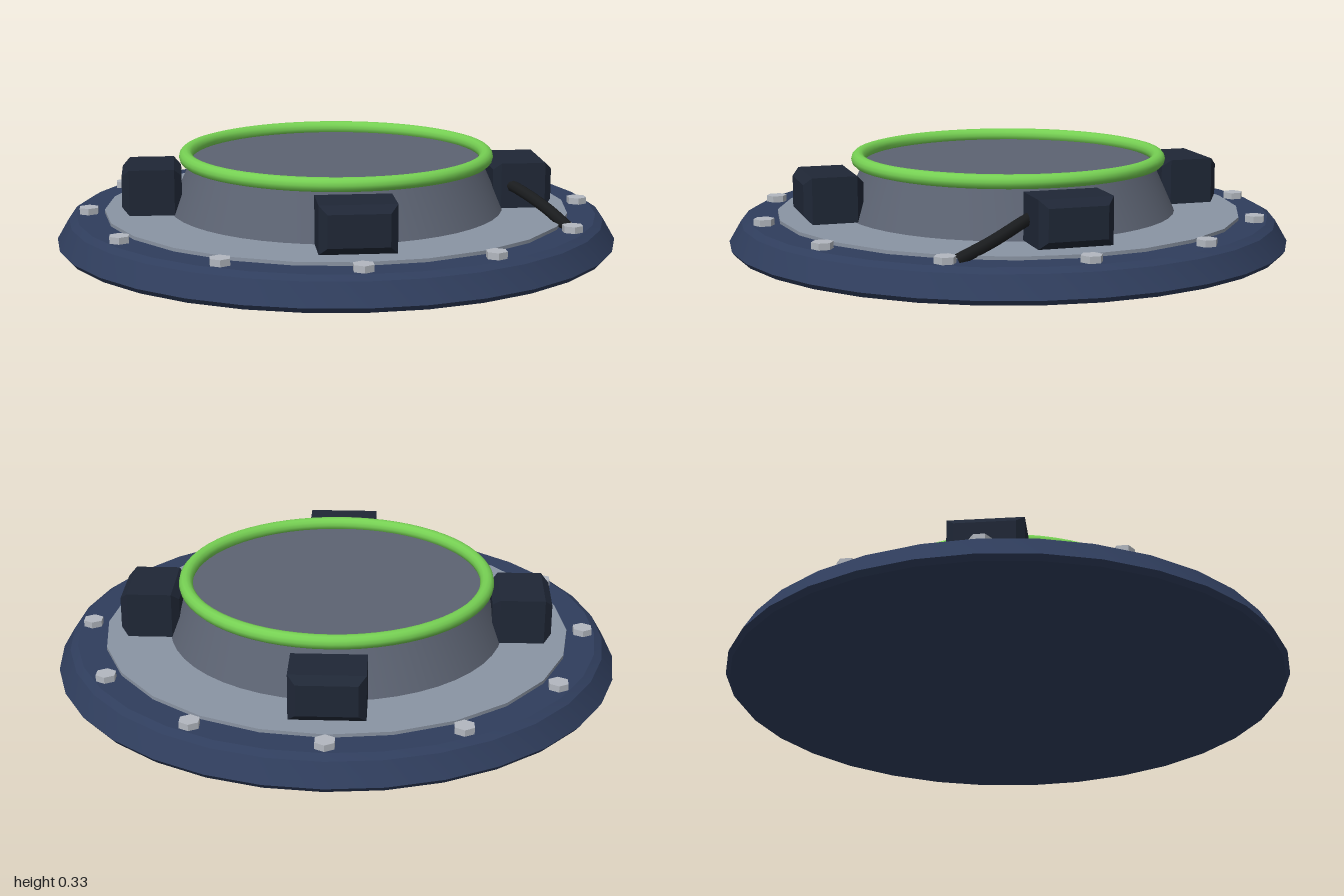
import * as THREE from 'three';
import { toCreasedNormals } from 'three/addons/utils/BufferGeometryUtils.js';

const material = (color) => new THREE.MeshStandardMaterial({ color });
const navy = material(0x2f3d5c);
const steel = material(0x8a94a3);
const slate = material(0x5c6372);
const dark = material(0x1f2736);
const green = material(0x76d053);
const silver = material(0xb2b7bf);
const rubber = material(0x1a1c1e);

export function createModel() {
  const model = new THREE.Group();

  const add = (name, geometry, mat, parent = model) => {
    const mesh = new THREE.Mesh(geometry, mat);
    mesh.name = name;
    parent.add(mesh);
    return mesh;
  };

  // Solid of revolution with sharp profile corners
  const turned = (points, sides) => toCreasedNormals(
    new THREE.LatheGeometry(points.map(([r, y]) => new THREE.Vector2(r, y)), sides), 0.45);

  // Base, mounting plate and raised drum
  add('base', turned([[0, 0], [0.985, 0], [1, 0.018], [0.957, 0.092], [0.93, 0.108], [0, 0.108]], 32), navy);
  add('mountingPlate', turned([[0.83, 0.1], [0.83, 0.12], [0, 0.12]], 24), steel);
  add('drum', turned([[0.6, 0.115], [0.52, 0.293], [0, 0.293]], 48), slate);

  // Glowing rim
  const rim = add('rimRing', new THREE.TorusGeometry(0.538, 0.025, 12, 64), green);
  rim.rotation.x = Math.PI / 2;
  rim.position.y = 0.308;

  // Hexagonal bolts around the base
  const bolts = new THREE.Group();
  bolts.name = 'bolts';
  model.add(bolts);
  const boltGeometry = toCreasedNormals(new THREE.CylinderGeometry(0.037, 0.037, 0.03, 6), 0.4);
  for (let i = 0; i < 12; i++) {
    const a = (i / 12) * Math.PI * 2;
    add('bolt', boltGeometry, silver, bolts)
      .position.set(Math.sin(a) * 0.886, 0.116, Math.cos(a) * 0.886);
  }

  // Four chamfered clamp blocks
  const chamfer = 0.026;
  const w = 0.128 - chamfer, h = 0.081 - chamfer;
  const outline = new THREE.Shape([
    new THREE.Vector2(-w, -h), new THREE.Vector2(w, -h),
    new THREE.Vector2(w, h), new THREE.Vector2(-w, h),
  ]);
  const depth = 0.21 - 2 * chamfer;
  const clampGeometry = toCreasedNormals(new THREE.ExtrudeGeometry(outline, {
    depth, bevelEnabled: true, bevelThickness: chamfer, bevelSize: chamfer, bevelSegments: 1,
  }).translate(0, 0, -depth / 2), 0.3);
  for (let i = 0; i < 4; i++) {
    const a = (i * Math.PI) / 2;
    const clamp = add('clampBlock', clampGeometry, dark);
    clamp.position.set(Math.sin(a) * 0.66, 0.204, Math.cos(a) * 0.66);
    clamp.rotation.y = a;
  }

  // Cable from the left block down to the plate
  const path = new THREE.CatmullRomCurve3([
    new THREE.Vector3(0.6, 0.21, 0.09),
    new THREE.Vector3(0.64, 0.195, 0.15),
    new THREE.Vector3(0.71, 0.155, 0.27),
    new THREE.Vector3(0.765, 0.11, 0.41),
  ]);
  add('cable', new THREE.TubeGeometry(path, 16, 0.021, 8), rubber);

  return model;
}
